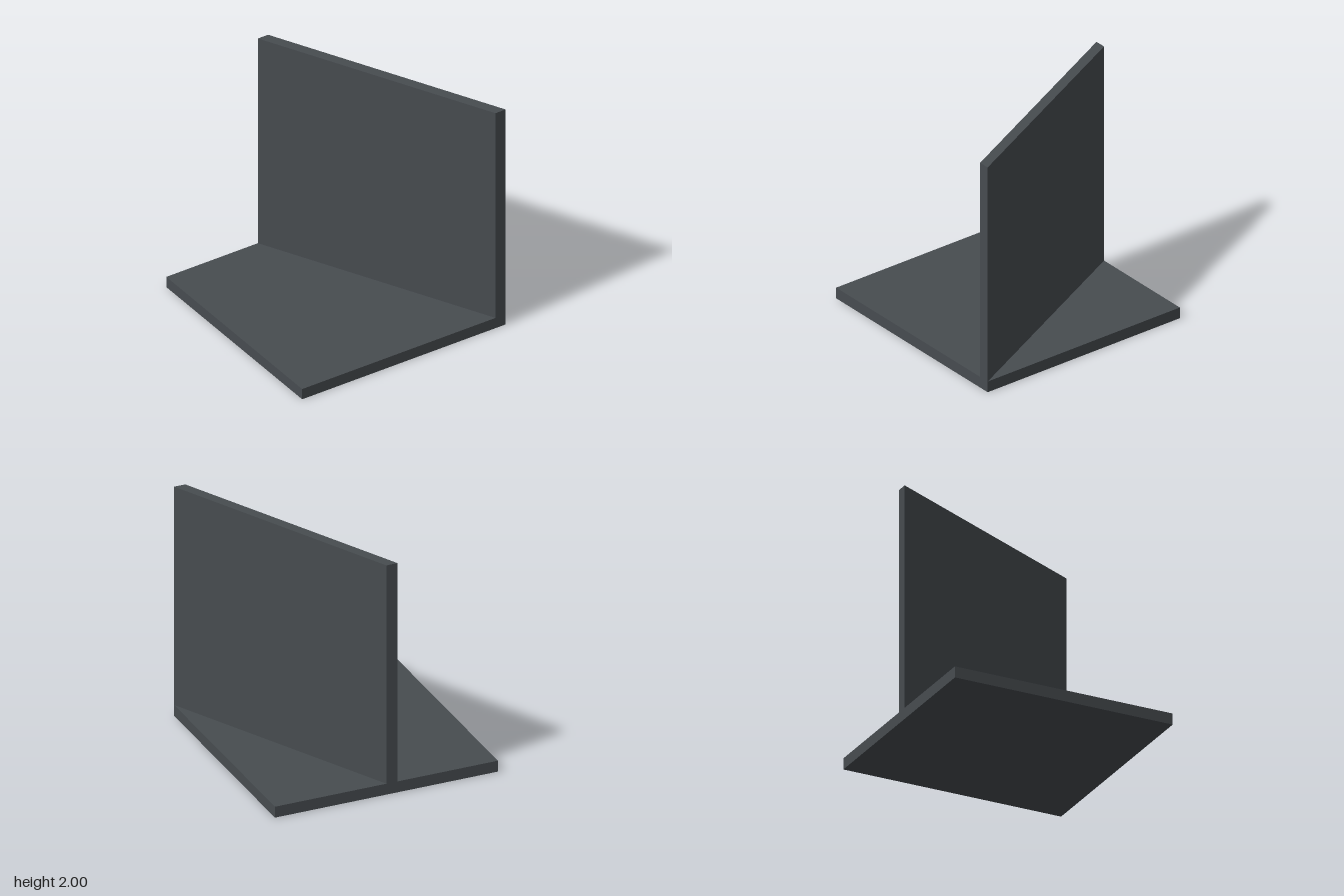
import * as THREE from 'three';

export function createModel() {
  const group = new THREE.Group();
  const half = 0.95, thick = 0.095, height = 2;
  const slate = new THREE.MeshStandardMaterial({ color: 0x474c50 });
  slate.name = 'slate grey';

  // Square floor slab
  const base = new THREE.Mesh(new THREE.BoxGeometry(half * 2, thick, half * 2), slate);
  base.name = 'baseSlab';
  base.position.y = thick / 2;
  group.add(base);

  // Slanted wall: parallelogram plan (x, -z) raised from the slab
  const plan = new THREE.Shape([
    new THREE.Vector2(half - thick, -half),
    new THREE.Vector2(half, -half),
    new THREE.Vector2(0, half),
    new THREE.Vector2(-thick, half),
  ]);
  const wallGeometry = new THREE.ExtrudeGeometry(plan, { depth: height - thick, bevelEnabled: false });
  wallGeometry.rotateX(-Math.PI / 2);
  const wall = new THREE.Mesh(wallGeometry, slate);
  wall.name = 'slantedWall';
  wall.position.y = thick;
  group.add(wall);

  return group;
}
